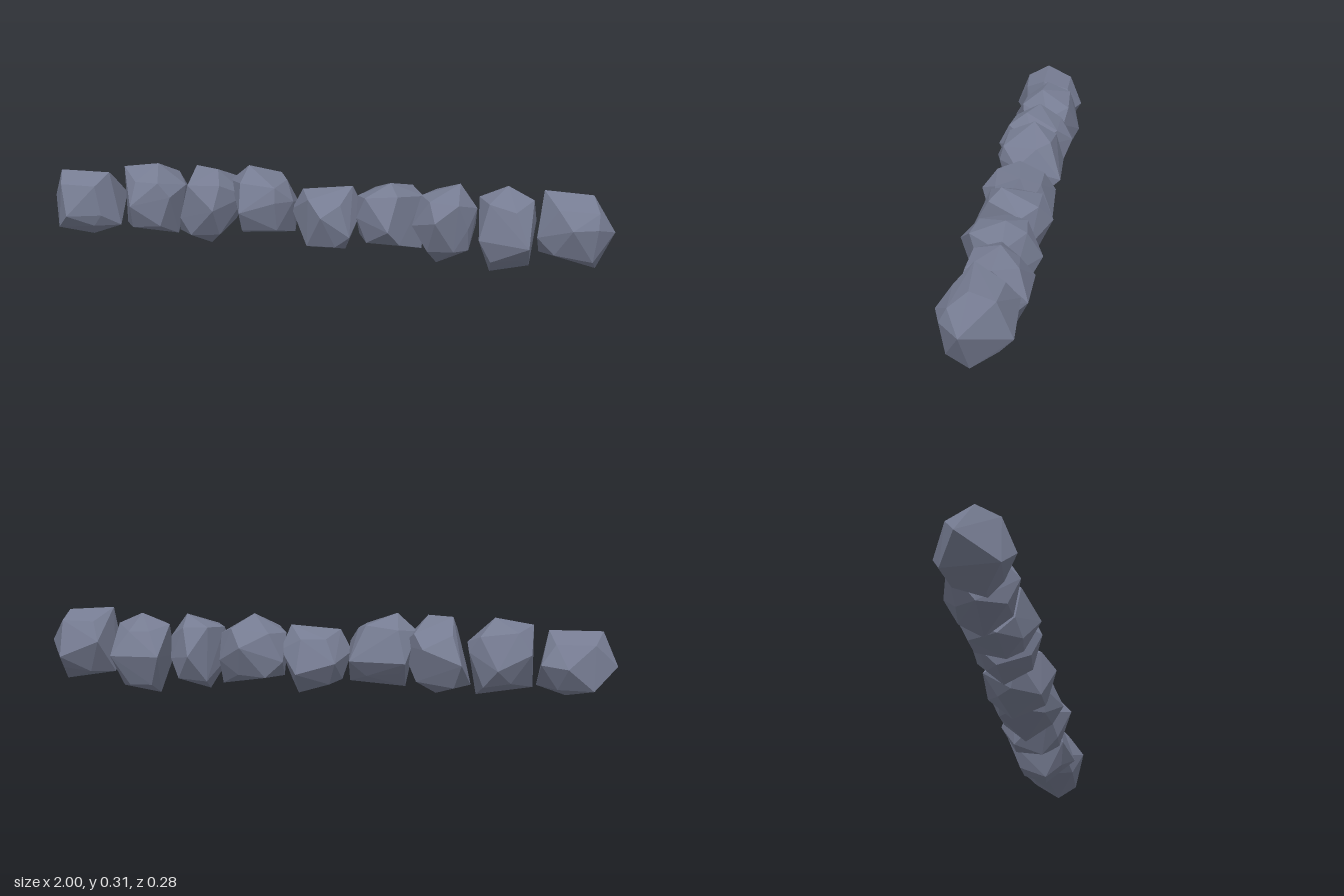
import * as THREE from 'three';
import { ConvexGeometry } from 'three/addons/geometries/ConvexGeometry.js';

function seededRandom(seed) {
  let s = seed;
  return () => (s = (s * 16807) % 2147483647) / 2147483647;
}

const middle = (values) => (Math.min(...values) + Math.max(...values)) / 2;
const halfSpan = (values) => (Math.max(...values) - Math.min(...values)) / 2;

// Chipped stone: the hull of a front outline (x, y), a plan outline (x, z)
// and eight shoulders that round off the space between them
function rockGeometry(front, plan, random) {
  const xs = [...front, ...plan].map((p) => p[0]);
  const ys = front.map((p) => p[1]);
  const zs = plan.map((p) => p[1]);
  const [cx, cy, cz] = [xs, ys, zs].map(middle);
  const [hx, hy, hz] = [xs, ys, zs].map(halfSpan);
  const vary = (size) => (random() - 0.5) * size;

  const corners = [
    ...front.map(([x, y]) => new THREE.Vector3(x, y, cz + vary(0.08))),
    ...plan.map(([x, z]) => new THREE.Vector3(x, cy + vary(0.08), z)),
  ];
  for (const sx of [-1, 1]) for (const sy of [-1, 1]) for (const sz of [-1, 1]) {
    corners.push(new THREE.Vector3(
      cx + sx * hx * (0.48 + vary(0.25)),
      cy + sy * hy * (0.64 + vary(0.16)),
      cz + sz * hz * (0.64 + vary(0.16)),
    ));
  }
  return new ConvexGeometry(corners);
}

export function createModel() {
  const group = new THREE.Group();
  group.name = 'rockRow';
  const stone = new THREE.MeshStandardMaterial({ color: 0x767c92, flatShading: true });
  const random = seededRandom(4711);

  function addRock(name, front, plan) {
    const rock = new THREE.Mesh(rockGeometry(front, plan, random), stone);
    rock.name = name;
    group.add(rock);
  }

  // Rocks in a row, from the right end to the left end
  addRock('rightEndRock',
    [[-1, 0.15], [-0.95, 0.26], [-0.77, 0.26], [-0.73, 0.07], [-0.83, 0.035]],
    [[-0.84, -0.125], [-0.75, -0.1], [-0.78, 0.085], [-0.89, 0.135]]);
  addRock('rightOuterRock',
    [[-0.72, 0.28], [-0.59, 0.3], [-0.5, 0.22], [-0.53, 0.04], [-0.72, 0.07]],
    [[-0.72, -0.11], [-0.61, -0.14], [-0.51, -0.09], [-0.53, 0.06], [-0.66, 0.11]]);
  addRock('rightMiddleRock',
    [[-0.45, 0.3], [-0.36, 0.3], [-0.27, 0.2], [-0.39, 0.03], [-0.51, 0.065]],
    [[-0.49, -0.13], [-0.36, -0.14], [-0.35, 0.13], [-0.49, 0.065]]);
  addRock('rightInnerRock',
    [[-0.33, 0.25], [-0.26, 0.31], [-0.13, 0.26], [-0.1, 0.075], [-0.29, 0.06]],
    [[-0.3, -0.115], [-0.11, -0.125], [-0.09, 0.03], [-0.14, 0.095], [-0.26, 0.12]]);
  addRock('centreRock',
    [[-0.1, 0.17], [-0.06, 0.245], [0.11, 0.26], [0.08, 0.025], [-0.07, 0.075]],
    [[-0.06, -0.115], [0.075, -0.12], [0.14, -0.05], [0.12, 0.085], [0.03, 0.13]]);
  addRock('leftInnerRock',
    [[0.13, 0.23], [0.25, 0.29], [0.35, 0.23], [0.35, 0.05], [0.13, 0.085]],
    [[0.125, -0.09], [0.265, -0.145], [0.35, -0.08], [0.26, 0.125], [0.14, 0.065]]);
  addRock('leftMiddleRock',
    [[0.35, 0.245], [0.48, 0.29], [0.54, 0.21], [0.52, 0.075], [0.41, 0.02]],
    [[0.45, -0.135], [0.53, -0.06], [0.52, 0.06], [0.42, 0.135], [0.33, 0.06]]);
  addRock('leftOuterRock',
    [[0.545, 0.25], [0.64, 0.29], [0.73, 0.25], [0.72, 0.025], [0.59, 0]],
    [[0.56, -0.125], [0.73, -0.125], [0.73, 0.11], [0.56, 0.085]]);
  addRock('leftEndRock',
    [[0.765, 0.3], [0.925, 0.29], [1, 0.175], [0.94, 0.04], [0.75, 0.075]],
    [[0.78, -0.11], [0.92, -0.11], [0.95, 0.105], [0.87, 0.13], [0.75, 0.07]]);
  return group;
}
